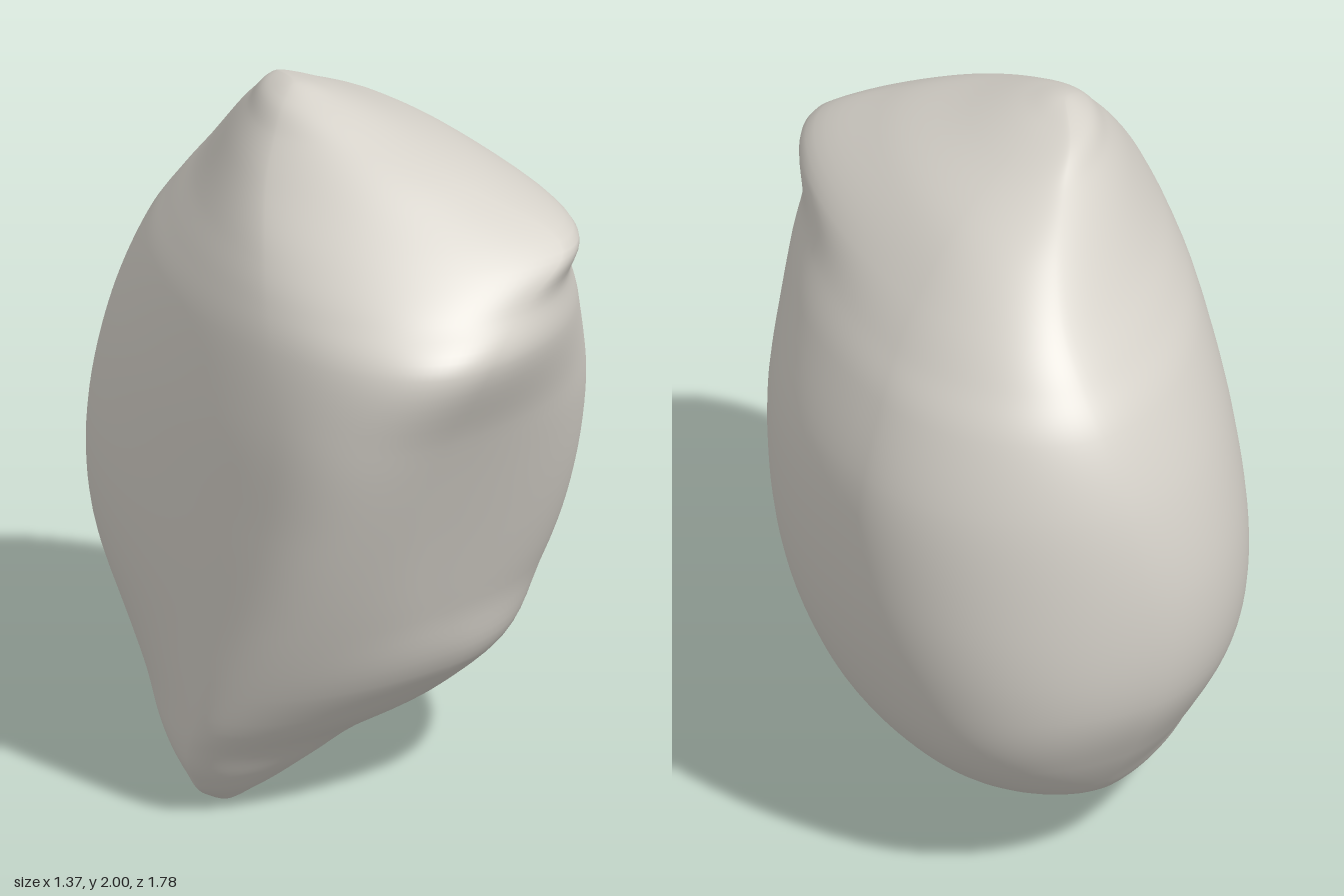
import * as THREE from 'three';
import { mergeVertices } from 'three/addons/utils/BufferGeometryUtils.js';

// Level outlines from top to bottom, each given by its four extreme points:
// y, left edge (x, z), right edge (x, z), front edge (x, z), back edge (x, z)
const LEVELS = [
  [2.0, -0.2, 0, -0.2, 0, -0.2, 0, -0.2, 0],
  [1.97, -0.28, 0.04, -0.09, -0.04, -0.2, 0.14, -0.12, -0.15],
  [1.9, -0.35, 0.08, 0.07, -0.08, -0.17, 0.33, -0.02, -0.27],
  [1.8, -0.44, 0.14, 0.27, -0.15, -0.06, 0.57, 0.1, -0.42],
  [1.66, -0.55, 0.25, 0.42, -0.2, 0.04, 0.8, 0.18, -0.58],
  [1.55, -0.61, 0.32, 0.505, -0.23, -0.16, 0.845, 0.19, -0.68],
  [1.43, -0.65, 0.38, 0.58, -0.27, -0.31, 0.885, 0.18, -0.765],
  [1.2, -0.68, 0.42, 0.665, -0.3, -0.35, 0.785, 0.14, -0.85],
  [0.9, -0.685, 0.36, 0.685, -0.3, -0.33, 0.665, 0.09, -0.89],
  [0.6, -0.683, 0.25, 0.64, -0.28, -0.22, 0.55, 0.08, -0.86],
  [0.4, -0.68, 0.16, 0.55, -0.29, -0.06, 0.47, 0.1, -0.76],
  [0.3, -0.675, 0.12, 0.46, -0.28, -0.12, 0.38, 0.11, -0.69],
  [0.2, -0.66, 0.07, 0.26, -0.22, -0.3, 0.25, 0.06, -0.59],
  [0.1, -0.62, 0.04, -0.03, -0.08, -0.42, 0.15, -0.18, -0.3],
  [0.03, -0.55, 0.02, -0.3, 0.0, -0.46, 0.07, -0.4, -0.08],
  [0.0, -0.47, 0.02, -0.47, 0.02, -0.47, 0.02, -0.47, 0.02],
];

// Corner sharpness by height (below 1 is fuller, above 1 is flatter):
// y, front right, back right, back left, front left
const CORNERS = [
  [2.0, 1, 1, 1.2, 1],
  [1.7, 1.07, 1, 1.25, 0.98],
  [1.43, 0.97, 1.02, 1.13, 0.87],
  [1.1, 0.81, 1.04, 1.05, 0.81],
  [0.65, 0.81, 0.92, 1.08, 0.81],
  [0.35, 1.02, 0.8, 1.28, 0.86],
  [0.0, 1.15, 0.95, 1.5, 1],
];

const levelStep = (a, b) => Math.hypot(...a.map((v, c) => v - b[c]));
const heightStep = (a, b) => a[0] - b[0];

// Slopes of every value along a list of rows; the height runs level at both ends
function slopesOf(rows, step) {
  return rows.map((here, k) => {
    const above = rows[k - 1], below = rows[k + 1];
    if (!above) return here.map((v, c) => (c ? (below[c] - v) / step(here, below) : 0));
    if (!below) return here.map((v, c) => (c ? (v - above[c]) / step(above, here) : 0));
    const h0 = step(above, here), h1 = step(here, below);
    return here.map((v, c) => ((v - above[c]) * h1 / h0 + (below[c] - v) * h0 / h1) / (h0 + h1));
  });
}
const LEVEL_SLOPES = slopesOf(LEVELS, levelStep);
const CORNER_SLOPES = slopesOf(CORNERS, heightStep);

// Smooth blend between row k and the next one
function blend(rows, slopes, step, k, f) {
  const h = step(rows[k], rows[k + 1]);
  return rows[k].map((b, c) => {
    const d = rows[k + 1][c], m0 = slopes[k][c] * h, m1 = slopes[k + 1][c] * h;
    return b + f * (m0 + f * (3 * (d - b) - 2 * m0 - m1 + f * (2 * (b - d) + m0 + m1)));
  });
}

function levelAt(t) {
  const k = Math.min(Math.floor(t), LEVELS.length - 2);
  return blend(LEVELS, LEVEL_SLOPES, levelStep, k, t - k);
}

function cornersAt(y) {
  let k = 0;
  while (k < CORNERS.length - 2 && y < CORNERS[k + 1][0]) k++;
  const f = (CORNERS[k][0] - y) / heightStep(CORNERS[k], CORNERS[k + 1]);
  return blend(CORNERS, CORNER_SLOPES, heightStep, k, f).slice(1);
}

// Point on a level outline, running front, right, back, left in four rounded quarters
function outlinePoint(level, corners, u) {
  const [, xl, zl, xr, zr, xf, zf, xb, zb] = level;
  const quarter = Math.floor(u * 4);
  const angle = (u * 4 - quarter) * Math.PI / 2;
  const s = Math.pow(Math.sin(angle), corners[quarter]);
  const c = Math.pow(Math.cos(angle), corners[quarter]);
  if (quarter === 0) return [xf + (xr - xf) * s, zr + (zf - zr) * c];
  if (quarter === 1) return [xb + (xr - xb) * c, zr + (zb - zr) * s];
  if (quarter === 2) return [xb + (xl - xb) * s, zl + (zb - zl) * c];
  return [xf + (xl - xf) * c, zl + (zf - zl) * s];
}

function stoneGeometry(around = 112, perLevel = 7) {
  const rows = (LEVELS.length - 1) * perLevel;
  const positions = [], index = [];
  for (let j = 0; j <= rows; j++) {
    const level = levelAt(j / perLevel);
    const corners = cornersAt(level[0]);
    for (let i = 0; i < around; i++) {
      const [x, z] = outlinePoint(level, corners, i / around);
      positions.push(x, level[0], z);
      if (j === rows) continue;
      const a = j * around + i, b = j * around + (i + 1) % around;
      const c = a + around, d = b + around;
      if (j < rows - 1) index.push(a, c, d);
      if (j > 0) index.push(a, d, b);
    }
  }
  const geometry = new THREE.BufferGeometry();
  geometry.setAttribute('position', new THREE.Float32BufferAttribute(positions, 3));
  geometry.setIndex(index);
  // Join the pole points so both tips shade smoothly
  const merged = mergeVertices(geometry, 1e-5);
  merged.computeVertexNormals();
  return merged;
}

export function createModel() {
  const group = new THREE.Group();
  group.name = 'rock';
  const stoneGrey = new THREE.MeshStandardMaterial({ color: 0xd6d2ca });
  stoneGrey.name = 'stone grey';
  const stone = new THREE.Mesh(stoneGeometry(), stoneGrey);
  stone.name = 'stone';
  group.add(stone);
  return group;
}
